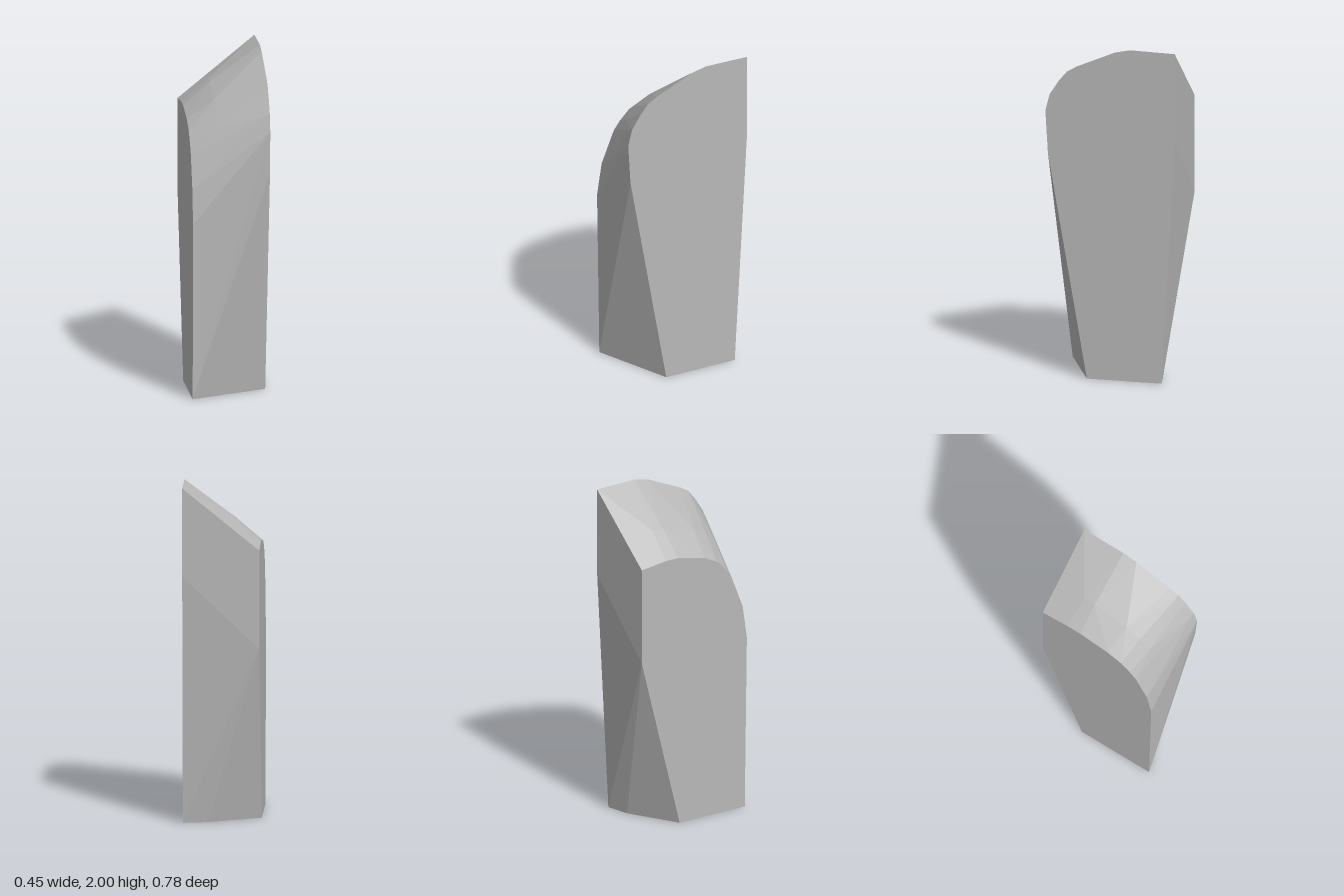
import * as THREE from 'three';
import { ConvexGeometry } from 'three/addons/geometries/ConvexGeometry.js';

const HALF = 0.225;

// Side outlines as [z, y], running from the back foot over the top to the front foot
const tallSide = [
  [-0.31, 0], [-0.39, 1.47], [-0.39, 1.995], [-0.12, 2], [-0.03, 1.98],
  [0.085, 1.93], [0.2, 1.88], [0.26, 1.845], [0.31, 1.785], [0.365, 1.7],
  [0.39, 1.6], [0.38, 1.45], [0.375, 1.35], [0.14, 0],
];
const lowSide = [
  [-0.12, 0], [-0.39, 1.05], [-0.39, 1.63], [-0.22, 1.65], [-0.13, 1.65],
  [0.06, 1.61], [0.15, 1.565], [0.21, 1.505], [0.25, 1.45], [0.33, 1.25],
  [0.36, 1.05], [0.345, 0],
];
// Slightly raised line across the middle of the sloping crown
const crown = [[-0.2, 1.785], [-0.13, 1.785], [0.09, 1.73], [0.185, 1.67], [0.255, 1.6]];

const place = (outline, x) => outline.map(([z, y]) => new THREE.Vector3(x, y, z));

export function createModel() {
  const group = new THREE.Group();
  group.name = 'slantedBlock';

  const stone = new THREE.MeshStandardMaterial({ color: 0xb8b8b8 });
  stone.name = 'grey stone';

  // Faceted block stretched between the two flat sides
  const points = [
    ...place(tallSide, HALF),
    ...place(lowSide, -HALF),
    ...place(crown, -0.07),
    new THREE.Vector3(0.08, 0, -0.28), // bend in the back edge of the foot
  ];
  const block = new THREE.Mesh(new ConvexGeometry(points), stone);
  block.name = 'block';
  group.add(block);

  return group;
}
